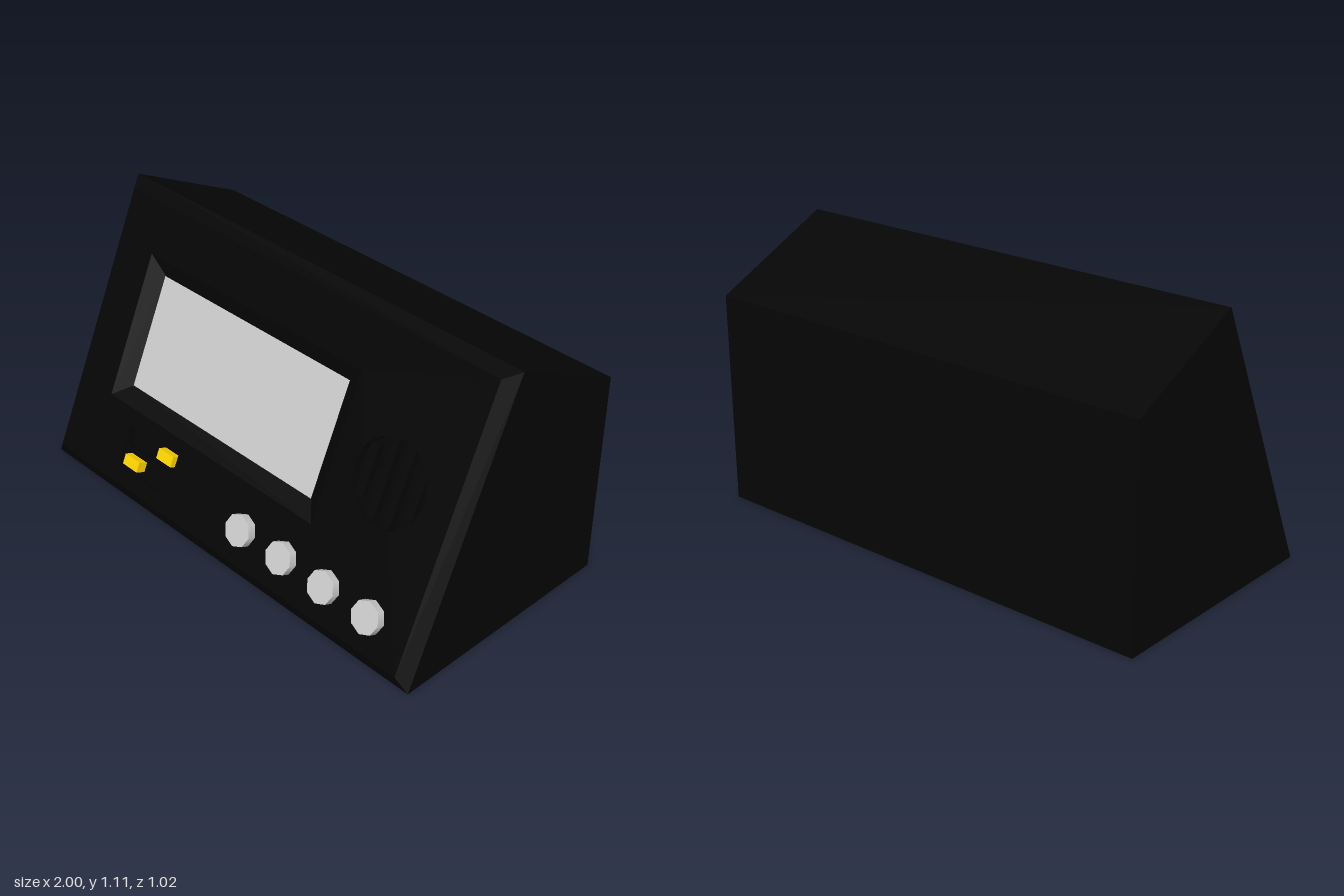
import * as THREE from 'three';

const black = new THREE.MeshStandardMaterial({ color: 0x050505 });
const grey = new THREE.MeshStandardMaterial({ color: 0xcccccc });
const yellow = new THREE.MeshStandardMaterial({ color: 0xffd500 });

const DEPTH = 0.043;      // thickness of the front plate
const FACE_LENGTH = 1.217; // height of the face measured along its slope
const SCREEN = { x0: -0.692, x1: 0.335, y0: 0.428, y1: 0.898 };
const RIM = 0.067;        // width of the sloped screen surround
const SPEAKER = { x: 0.665, y: 0.652, r: 0.167 };
const SLOTS = [
  { y0: 0.212, y1: 0.297, knobX: -0.377 },
  { y0: 0.110, y1: 0.195, knobX: -0.543 },
];

function addMesh(parent, name, geometry, material, x = 0, y = 0, z = 0) {
  const mesh = new THREE.Mesh(geometry, material);
  mesh.name = name;
  mesh.position.set(x, y, z);
  parent.add(mesh);
  return mesh;
}

const rect = (x0, y0, x1, y1) =>
  [[x0, y0], [x1, y0], [x1, y1], [x0, y1]].map(([x, y]) => new THREE.Vector2(x, y));

// Wedge body: side profile (z, y) swept across the width
function housingGeometry() {
  const profile = [[0.49, 0], [-0.01, 1.11], [-0.51, 0.86], [-0.51, 0]];
  const shape = new THREE.Shape(profile.map(([z, y]) => new THREE.Vector2(z, y)));
  return new THREE.ExtrudeGeometry(shape, { depth: 2, bevelEnabled: false })
    .rotateY(-Math.PI / 2).translate(1, 0, 0);
}

// Front plate with openings; its outer edge flares and its screen opening narrows towards the back
function plateGeometry() {
  const inset = 0.047;
  const shape = new THREE.Shape(rect(-1 + inset, inset, 1 - inset, FACE_LENGTH - inset));
  shape.holes.push(new THREE.Path(
    rect(SCREEN.x0 - RIM, SCREEN.y0 - RIM, SCREEN.x1 + RIM, SCREEN.y1 + RIM)));
  for (const s of SLOTS) shape.holes.push(new THREE.Path(rect(-0.607, s.y0, -0.313, s.y1)));
  const circle = new THREE.Path();
  circle.absarc(SPEAKER.x, SPEAKER.y, SPEAKER.r, 0, Math.PI * 2);
  shape.holes.push(circle);

  const geometry = new THREE.ExtrudeGeometry(shape, { depth: DEPTH, bevelEnabled: false, curveSegments: 16 });
  const p = geometry.attributes.position;
  const near = (a, b) => Math.abs(a - b) < 0.001;
  for (let i = 0; i < p.count; i++) {
    if (p.getZ(i) > DEPTH / 2) continue;
    const x = p.getX(i), y = p.getY(i);
    if (Math.abs(x) > 0.9) {
      p.setXY(i, Math.sign(x), y > 0.6 ? FACE_LENGTH : 0);
    } else if (near(x, SCREEN.x0 - RIM) || near(x, SCREEN.x1 + RIM)) {
      p.setXY(i, x < 0 ? SCREEN.x0 : SCREEN.x1, y > 0.6 ? SCREEN.y1 : SCREEN.y0);
    }
  }
  geometry.computeVertexNormals();
  return geometry;
}

export function createModel() {
  const model = new THREE.Group();
  model.name = 'tabletopConsole';
  addMesh(model, 'housing', housingGeometry(), black);

  // Sloped face: local y runs up the slope, local z points out of it
  const face = new THREE.Group();
  face.name = 'frontPanel';
  face.position.set(0, 0, 0.49);
  face.rotation.x = -Math.atan2(0.5, 1.11);
  model.add(face);
  addMesh(face, 'frontPlate', plateGeometry(), black);

  // Display
  const width = SCREEN.x1 - SCREEN.x0, height = SCREEN.y1 - SCREEN.y0;
  addMesh(face, 'screen', new THREE.PlaneGeometry(width, height), grey,
    SCREEN.x0 + width / 2, SCREEN.y0 + height / 2, 0.003);

  // Speaker slats, cut to the round opening
  const slatWidth = 0.036;
  for (const dx of [-0.115, -0.038, 0.038, 0.115]) {
    const reach = Math.abs(dx) + slatWidth / 2;
    const length = 2 * Math.sqrt(SPEAKER.r ** 2 - reach ** 2);
    addMesh(face, 'speakerSlat', new THREE.BoxGeometry(slatWidth, length, 0.03), black,
      SPEAKER.x + dx, SPEAKER.y, 0.015);
  }

  // Slider handles in their slots
  for (const s of SLOTS) {
    addMesh(face, 'sliderHandle', new THREE.BoxGeometry(0.086, 0.044, DEPTH), yellow,
      s.knobX, (s.y0 + s.y1) / 2 + 0.003, DEPTH / 2 + 0.002);
  }

  // Row of eight-sided buttons
  for (let i = 0; i < 4; i++) {
    const button = new THREE.CylinderGeometry(0.065, 0.065, 0.045, 8).rotateX(Math.PI / 2);
    addMesh(face, 'button', button, grey, 0.11 + i * 0.222, 0.189, DEPTH + 0.0115);
  }
  return model;
}
